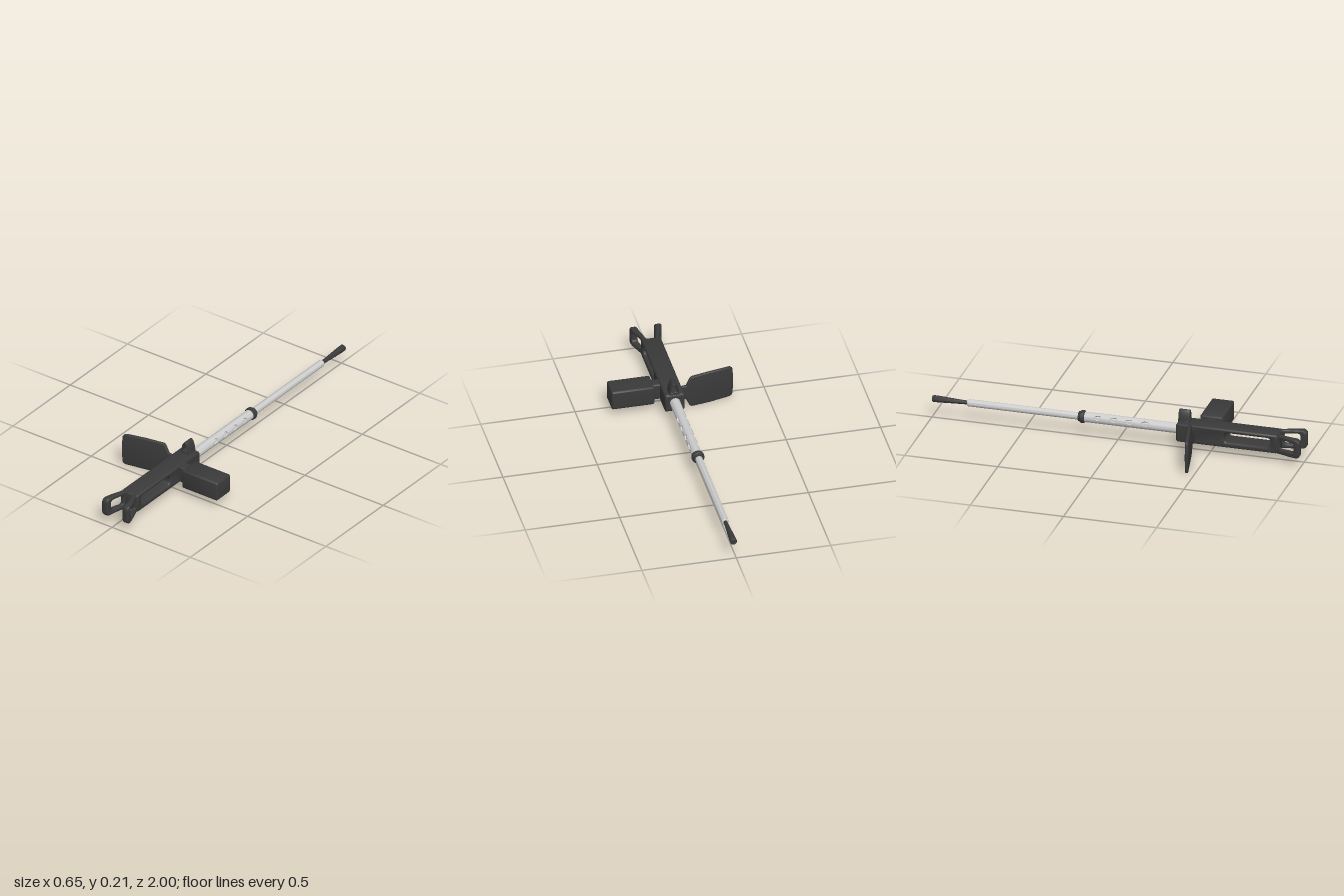
import * as THREE from 'three';
import { toCreasedNormals, mergeGeometries } from 'three/addons/utils/BufferGeometryUtils.js';
import { RoundedBoxGeometry } from 'three/addons/geometries/RoundedBoxGeometry.js';
import { ParametricGeometry } from 'three/addons/geometries/ParametricGeometry.js';

const CX = 0.013, CY = 0.096, TUBE_Y = 0.1;

// rounded rectangle centred on (cx, cy)
function roundRect(cx, cy, w, h, r, Type = THREE.Shape) {
  const s = new Type(), a = w / 2 - r, b = h / 2 - r;
  s.absarc(cx + a, cy + b, r, 0, Math.PI / 2);
  s.absarc(cx - a, cy + b, r, Math.PI / 2, Math.PI);
  s.absarc(cx - a, cy - b, r, Math.PI, Math.PI * 1.5);
  s.absarc(cx + a, cy - b, r, Math.PI * 1.5, Math.PI * 2);
  s.closePath();
  return s;
}

// bevelled extrusion of total thickness t, centred on its own plane
function slab(shape, t, bevel, curveSegments = 8) {
  const g = new THREE.ExtrudeGeometry(shape, {
    depth: t - 2 * bevel, bevelThickness: bevel, bevelSize: bevel,
    bevelOffset: -bevel, bevelSegments: 3, curveSegments,
  });
  return g.translate(0, 0, -(t - 2 * bevel) / 2);
}

// moves every vertex by a rule
function deform(g, rule) {
  const p = g.attributes.position, v = new THREE.Vector3();
  for (let i = 0; i < p.count; i++) {
    rule(v.fromBufferAttribute(p, i));
    p.setXYZ(i, v.x, v.y, v.z);
  }
  return g;
}

// solid of revolution along z from [radius, z] pairs
function turned(points) {
  const pts = points.map(([r, z]) => new THREE.Vector2(r, z));
  return new THREE.LatheGeometry(pts, 32).rotateX(Math.PI / 2).translate(CX, TUBE_Y, 0);
}

// half of a tube wall around one oval hole, including the hole's inner rim
function holeCell(side, zc, len, r) {
  const lift = 0.4, halfAngle = 0.5, halfLength = 0.021;
  return new ParametricGeometry((u, v, out) => {
    const t = u * Math.PI * 2, c = Math.cos(t), s = Math.sin(t);
    const k = Math.min(1 / Math.abs(c), 1 / Math.abs(s));
    const f = Math.max(0, (v * 8 - 1) / 7);
    const a = THREE.MathUtils.lerp(lift + halfAngle * s, Math.PI / 2 * k * s, f);
    const z = THREE.MathUtils.lerp(halfLength * c, len / 2 * k * c, f);
    const rad = v < 0.01 ? r - 0.008 : r;
    out.set(CX + side * rad * Math.cos(a), TUBE_Y + rad * Math.sin(a), zc + z);
  }, 48, 8);
}

export function createModel() {
  const group = new THREE.Group();
  const dark = new THREE.MeshStandardMaterial({ color: 0x3a3a3a });
  const grey = new THREE.MeshStandardMaterial({ color: 0xcccccc, side: THREE.DoubleSide });
  const add = (name, geometry, material = dark, crease = 0.6) => {
    const mesh = new THREE.Mesh(toCreasedNormals(geometry, crease), material);
    mesh.name = name;
    group.add(mesh);
    return mesh;
  };

  // slotted body, drawn in side profile and extruded across x
  const profile = roundRect(-0.594, CY, 0.548, 0.102, 0.014);
  profile.holes.push(roundRect(-0.704, 0.1, 0.25, 0.052, 0.02, THREE.Path));
  add('body', slab(profile, 0.104, 0.01).rotateY(Math.PI / 2).translate(CX, 0, 0));

  // pair of looped prongs, flaring outwards and thickening to the front
  for (const side of [-1, 1]) {
    const loop = new THREE.Shape(roundRect(-0.92, CY, 0.15, 0.104, 0.024).getSpacedPoints(90));
    loop.holes.push(new THREE.Path(roundRect(-0.919, 0.099, 0.082, 0.056, 0.012, THREE.Path).getSpacedPoints(60)));
    const g = slab(loop, 0.036, 0.009).rotateY(Math.PI / 2);
    deform(g, (v) => {
      const k = THREE.MathUtils.smoothstep(v.z, 0.83, 0.99);
      v.x = v.x * (0.55 + 0.5 * k) + CX + side * (0.031 + 0.034 * k);
    });
    add(side > 0 ? 'leftProng' : 'rightProng', g);
  }

  // side block and its neck
  add('sideBlock', new RoundedBoxGeometry(0.227, 0.107, 0.12, 4, 0.011).translate(0.2125, 0.0945, 0.47));
  add('sideBlockNeck', new RoundedBoxGeometry(0.06, 0.09, 0.06, 3, 0.008).translate(0.083, 0.095, 0.47));

  // curved paddle with a tapered neck
  const outline = new THREE.Shape();
  outline.moveTo(-0.03, 0.055);
  outline.lineTo(-0.066, 0.052);
  outline.lineTo(-0.085, 0.012);
  outline.quadraticCurveTo(-0.09, 0.003, -0.105, 0.002);
  outline.lineTo(-0.2, 0);
  outline.lineTo(-0.302, 0.003);
  outline.quadraticCurveTo(-0.323, 0.004, -0.325, 0.025);
  outline.lineTo(-0.328, 0.093);
  outline.lineTo(-0.325, 0.162);
  outline.quadraticCurveTo(-0.323, 0.182, -0.302, 0.184);
  outline.lineTo(-0.2, 0.186);
  outline.lineTo(-0.105, 0.184);
  outline.quadraticCurveTo(-0.09, 0.183, -0.085, 0.174);
  outline.lineTo(-0.066, 0.134);
  outline.lineTo(-0.03, 0.131);
  outline.closePath();
  const paddle = deform(slab(outline, 0.018, 0.007), (v) => {
    v.z += 0.412 + 0.05 * Math.pow(Math.max(0, -0.08 - v.x) / 0.245, 1.1);
  });
  add('paddle', paddle);

  // arched loop on top of the body
  const arch = new THREE.Shape();
  arch.moveTo(-0.031, 0.135);
  arch.lineTo(0.031, 0.135);
  arch.lineTo(0.025, 0.155);
  arch.bezierCurveTo(0.015, 0.23, -0.015, 0.23, -0.025, 0.155);
  arch.closePath();
  const opening = new THREE.Path();
  opening.moveTo(-0.018, 0.157);
  opening.bezierCurveTo(-0.01, 0.219, 0.01, 0.219, 0.018, 0.157);
  opening.closePath();
  arch.holes.push(opening);
  add('topLoop', slab(arch, 0.06, 0.003, 20).translate(CX + 0.001, 0, 0.355));

  // outer tube with a row of four oval holes on each side
  const R = 0.027, step = 0.084, first = 0.147;
  const cells = [];
  for (let i = 0; i < 4; i++) {
    for (const side of [-1, 1]) cells.push(holeCell(side, first - i * step, step, R));
  }
  add('perforatedTube', mergeGeometries(cells), grey);
  const front = first + step / 2, back = first - 3.5 * step;
  add('outerTubeFront', turned([[R, front], [R, 0.36]]), grey);
  add('outerTubeBack', turned([[R, -0.2], [R, back]]), grey);

  // inner tube, collar and flared tip
  add('innerTube', turned([[0, -0.812], [0.016, -0.812], [0.019, -0.808], [0.019, 0.33]]), grey);
  add('collar', turned([[0.018, -0.216], [0.026, -0.214], [0.028, -0.205], [0.033, -0.202],
    [0.034, -0.192], [0.033, -0.184], [0.027, -0.18]]));
  add('tip', turned([[0, -1], [0.015, -1], [0.018, -0.995], [0.0175, -0.965], [0.014, -0.9],
    [0.011, -0.84], [0.01, -0.8]]));

  return group;
}
